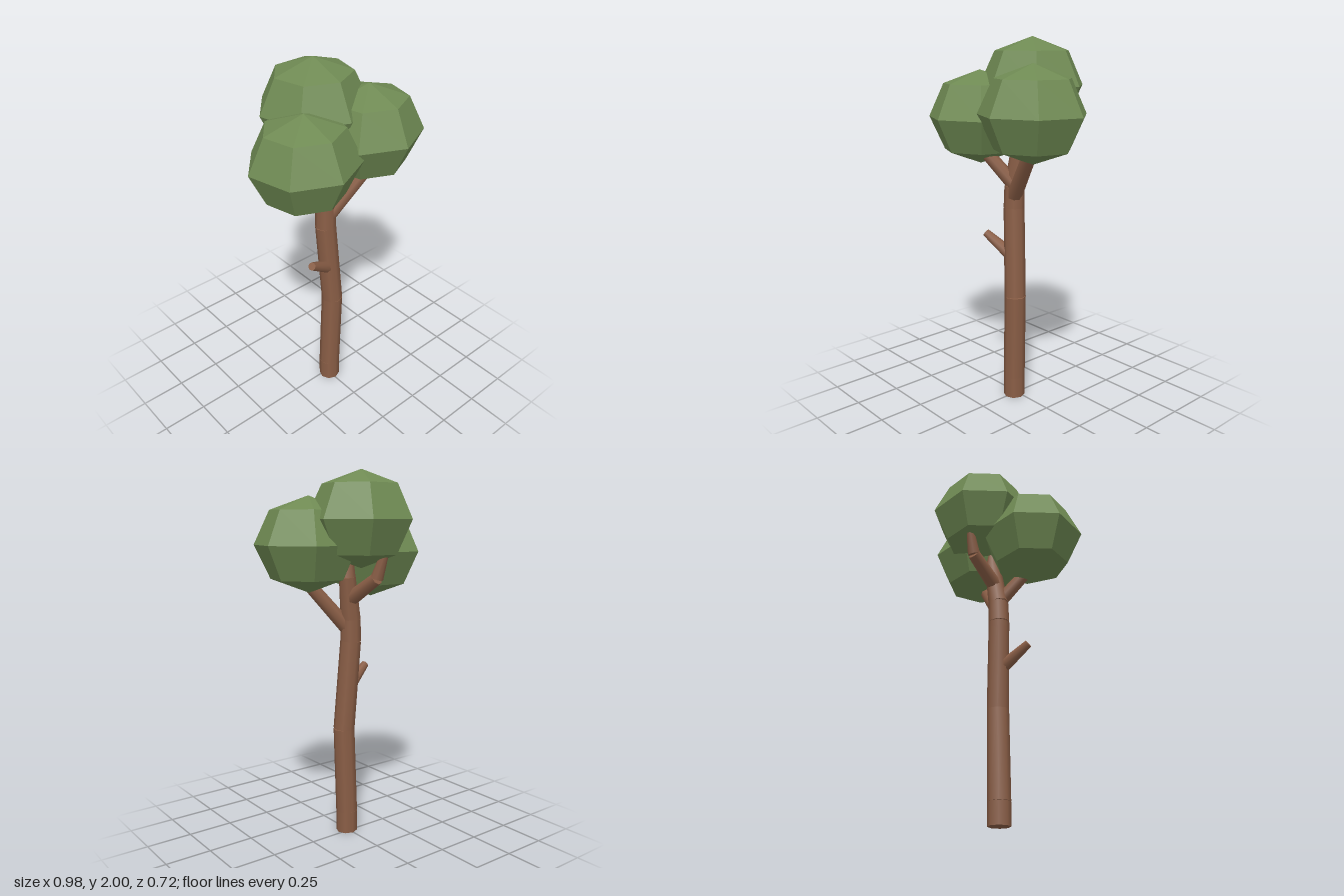
import * as THREE from 'three';

const bark = new THREE.MeshStandardMaterial({ color: 0x8a5e46 });
bark.name = 'bark brown';
const leaf = new THREE.MeshStandardMaterial({ color: 0x6f8a53, flatShading: true });
leaf.name = 'leaf green';

// Tapered limb between two points, closed at both ends
function limb(name, from, to, r0, r1) {
  const a = new THREE.Vector3(...from), b = new THREE.Vector3(...to);
  const dir = b.clone().sub(a);
  const mesh = new THREE.Mesh(new THREE.CylinderGeometry(r1, r0, dir.length(), 8), bark);
  mesh.position.copy(a).add(b).multiplyScalar(0.5);
  mesh.quaternion.setFromUnitVectors(new THREE.Vector3(0, 1, 0), dir.normalize());
  mesh.name = name;
  return mesh;
}

// Chain of limbs through points given as [x, y, z, radius]
function chain(name, points) {
  const group = new THREE.Group();
  group.name = name;
  for (let i = 0; i < points.length - 1; i++) {
    const p = points[i], q = points[i + 1];
    group.add(limb(name + 'Section' + (i + 1), p.slice(0, 3), q.slice(0, 3), p[3], q[3]));
  }
  return group;
}

// Faceted seven-sided crown with a corner towards the front
function crown(name, x, y, z) {
  const geometry = new THREE.SphereGeometry(1, 7, 4, Math.PI / 2);
  geometry.scale(0.29, 0.25, 0.281);
  const mesh = new THREE.Mesh(geometry, leaf);
  mesh.position.set(x, y, z);
  mesh.name = name;
  return mesh;
}

export function createModel() {
  const tree = new THREE.Group();
  tree.name = 'tree';

  // Gently bent trunk, tapering inside the top crown
  tree.add(chain('trunk', [
    [0.003, 0, 0.02, 0.06],
    [0.003, 0.12, 0.02, 0.06],
    [0.017, 0.605, 0.025, 0.059],
    [-0.014, 1.1, 0.005, 0.057],
    [-0.012, 1.22, 0.003, 0.055],
    [0.02, 1.45, -0.01, 0.045],
    [0.015, 1.56, -0.02, 0.022],
  ]));

  // Branches carrying the crowns
  tree.add(chain('leftBranch', [[0, 1.17, 0.015, 0.042], [0.22, 1.44, 0.1, 0.036]]));
  tree.add(chain('rightBranch', [[0, 1.23, 0.015, 0.04], [-0.15, 1.43, 0.12, 0.034]]));
  tree.add(chain('backBranch', [
    [0, 1.33, -0.01, 0.042],
    [-0.03, 1.45, -0.195, 0.034],
    [-0.045, 1.57, -0.235, 0.022],
  ]));

  // Short bare stub on the trunk
  tree.add(limb('stub', [0, 0.825, 0.02], [-0.17, 0.94, 0.075], 0.038, 0.022));

  // Leaf crowns
  tree.add(crown('topCrown', 0.004, 1.75, -0.108));
  tree.add(crown('leftCrown', 0.207, 1.62, 0.075));
  tree.add(crown('rightCrown', -0.208, 1.58, 0.075));
  return tree;
}
